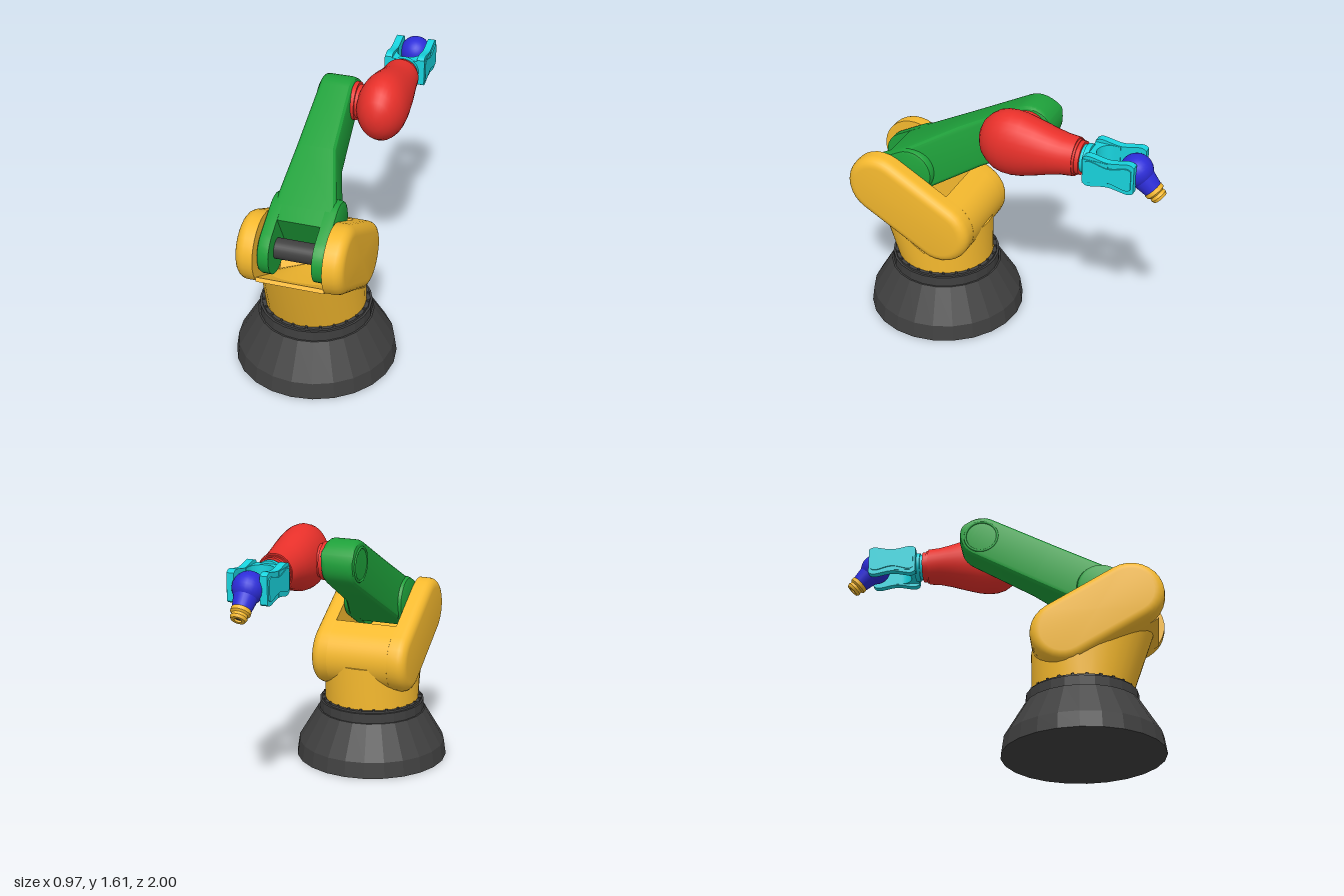
import * as THREE from 'three';
import { toCreasedNormals } from 'three/addons/utils/BufferGeometryUtils.js';

const V = (x, y, z) => new THREE.Vector3(x, y, z);
const mat = (color, flatShading = false) => new THREE.MeshStandardMaterial({ color, flatShading });

// Closed skin over equal-length rings of points, capped at both ends
function loft(rings, crease = 0.5) {
  const n = rings[0].length, tris = [];
  const mid = (r) => r.reduce((s, p) => s.add(p), V(0, 0, 0)).divideScalar(n);
  const last = rings[rings.length - 1], c0 = mid(rings[0]), c1 = mid(last);
  for (let j = 0; j < n; j++) {
    const k = (j + 1) % n;
    tris.push([c0, rings[0][k], rings[0][j]], [c1, last[j], last[k]]);
    for (let i = 0; i + 1 < rings.length; i++) {
      const a = rings[i], b = rings[i + 1];
      tris.push([a[j], a[k], b[k]], [a[j], b[k], b[j]]);
    }
  }
  // Keep faces pointing outward whichever way the rings run
  const volume = tris.reduce((s, [a, b, c]) => s + a.clone().sub(c0).dot(b.clone().sub(c0).cross(c.clone().sub(c0))), 0);
  if (volume < 0) tris.forEach((t) => t.reverse());
  const g = new THREE.BufferGeometry().setFromPoints(tris.flat());
  return toCreasedNormals(g, crease);
}

// Capsule outline in the side plane; a and b are [z, y, radius]
function capsule(x, a, b, inset = 0) {
  const t = Math.atan2(b[1] - a[1], b[0] - a[0]), pts = [];
  [[a, t + Math.PI / 2], [b, t - Math.PI / 2]].forEach(([c, start]) => {
    for (let i = 0; i <= 14; i++) {
      const q = start + (Math.PI * i) / 14, r = c[2] - inset;
      pts.push(V(x, c[1] + r * Math.sin(q), c[0] + r * Math.cos(q)));
    }
  });
  return pts;
}

// Extrude a (z, y) shape across x from x0 to x1
function sideExtrude(shape, x0, x1) {
  const g = new THREE.ExtrudeGeometry(shape, { depth: x1 - x0, bevelEnabled: false, curveSegments: 16 });
  return toCreasedNormals(g.rotateY(-Math.PI / 2).translate(x1, 0, 0), 0.5);
}

export function createModel() {
  const model = new THREE.Group();
  const yellow = mat(0xf5b92e), green = mat(0x1ea03a), red = mat(0xe8302a);
  const cyan = mat(0x18d4de), blue = mat(0x2c2cd8), dark = mat(0x404040), darkFlat = mat(0x404040, true);
  const add = (name, geo, material, parent = model) => {
    const m = new THREE.Mesh(geo, material);
    m.name = name;
    parent.add(m);
    return m;
  };
  const disc = (r, x0, x1, y, z, seg = 32) =>
    new THREE.CylinderGeometry(r, r, x1 - x0, seg).rotateZ(Math.PI / 2).translate((x0 + x1) / 2, y, z);

  // Base with its bolted flange
  const profile = [[0, 0], [0.485, 0], [0.47, 0.1], [0.345, 0.31], [0.335, 0.31], [0.335, 0.372], [0.322, 0.372], [0.322, 0.385], [0, 0.385]];
  add('base', new THREE.LatheGeometry(profile.map((p) => new THREE.Vector2(...p)), 24).translate(0, 0, 0.49), darkFlat);
  for (let i = 0; i < 24; i++) {
    const a = ((i + 0.5) * Math.PI) / 12;
    add('flangeBolt', new THREE.CylinderGeometry(0.009, 0.009, 0.012, 6)
      .translate(0.311 * Math.cos(a), 0.388, 0.49 + 0.311 * Math.sin(a)), dark);
  }

  // Turning column, flaring forward up to the sloped shoulder
  const ring = (top) => Array.from({ length: 32 }, (_, i) => {
    const a = (i * Math.PI) / 16, s = Math.sin(a);
    const z = 0.49 + s * (top && s > 0 ? 0.44 : 0.3);
    const slope = 0.68 + (-0.19 + 0.5 * (z - 0.4)) / 0.866;
    return V(0.3 * Math.cos(a), !top ? 0.38 : s < 0 ? 0.65 : slope, z);
  });
  add('column', loft([ring(false), ring(true)]), yellow);

  // Shoulder side plates with rounded outer rims
  const rear = [0.4, 0.68, 0.2], front = [0.8, 0.91, 0.2];
  for (const s of [-1, 1]) {
    const rings = [capsule(s * 0.2, rear, front)];
    for (let i = 0; i <= 6; i++) {
      const a = (i * Math.PI) / 12;
      rings.push(capsule(s * (0.255 + 0.06 * Math.sin(a)), rear, front, 0.06 * (1 - Math.cos(a))));
    }
    add('shoulderPlate', loft(rings), yellow);
  }

  // Shoulder middle: rounded back, slot for the arm, thin floor
  const tilt = Math.PI / 6;
  const slot = (u, v) => [0.4 + u * Math.cos(tilt) - v * Math.sin(tilt), 0.68 + u * Math.sin(tilt) + v * Math.cos(tilt)];
  const mid = new THREE.Shape();
  mid.moveTo(...slot(0.09, 0.2));
  mid.lineTo(...slot(0, 0.2));
  mid.absarc(0.4, 0.68, 0.2, tilt + Math.PI / 2, tilt + 1.5 * Math.PI, false);
  [[0.53, -0.2], [0.53, -0.175], [0.09, -0.175]].forEach((p) => mid.lineTo(...slot(...p)));
  add('shoulderBridge', sideExtrude(mid, -0.2, 0.2), yellow);

  // Shoulder shaft
  add('shoulderShaft', disc(0.06, -0.2, 0.2, 0.91, 0.8), dark);

  // Upper arm: u runs along the arm, v across it
  const armPoint = (x, u, v) => V(x, 0.91 + 0.485 * u + 0.874 * v, 0.8 - 0.874 * u + 0.485 * v);
  const section = (u, h, xl, xr) => {
    const c = Math.min(0.035, h * 0.6), pts = [];
    [[xr - c, h - c], [xl + c, h - c], [xl + c, c - h], [xr - c, c - h]].forEach(([x, v], q) => {
      for (let i = 0; i <= 3; i++) {
        const a = (q + i / 3) * Math.PI / 2;
        pts.push(armPoint(x + c * Math.cos(a), u, v + c * Math.sin(a)));
      }
    });
    return pts;
  };
  const arm = [section(0.1, 0.147, -0.19, 0.19), section(0.2, 0.147, -0.18, 0.19), section(0.6, 0.143, -0.16, 0.077), section(1.027, 0.14, -0.145, 0.057)];
  for (let i = 1; i <= 8; i++) {
    const a = (i * Math.PI) / 16.3;
    arm.push(section(1.027 + 0.14 * Math.sin(a), 0.14 * Math.cos(a), -0.145, 0.057));
  }
  add('upperArm', loft(arm), green);
  const end = armPoint(0, 0.2, 0);
  for (const s of [-1, 1]) {
    const a = [0.8, 0.91, 0.15], b = [end.z, end.y, 0.147];
    const layers = [[0.125, 0], [0.175, 0], [0.192, 0.008], [0.199, 0.025]];
    add('armFork', loft(layers.map(([x, inset]) => capsule(s * x, a, b, inset))), green);
  }
  add('elbowRim', new THREE.TorusGeometry(0.1, 0.008, 8, 32).rotateY(Math.PI / 2).translate(-0.145, 1.405, -0.1), green);

  // Elbow joint discs
  add('elbowDisc', disc(0.115, 0.05, 0.08, 1.408, -0.1), red);
  add('elbowHub', disc(0.1, 0.08, 0.15, 1.408, -0.1), red);

  // Forearm: elliptical bulb narrowing to the wrist; [z, half width, half height]
  const forearm = [[0.12, 0.015, 0.02], [0.112, 0.05, 0.065], [0.09, 0.087, 0.112], [0.055, 0.115, 0.15], [0.01, 0.138, 0.182],
    [-0.04, 0.148, 0.197], [-0.09, 0.15, 0.2], [-0.15, 0.148, 0.192], [-0.24, 0.14, 0.166], [-0.33, 0.128, 0.137],
    [-0.4, 0.118, 0.12], [-0.475, 0.11, 0.113]];
  const ellipse = ([z, rx, ry]) => Array.from({ length: 32 }, (_, i) =>
    V(0.235 + rx * Math.cos((i * Math.PI) / 16), 1.41 + ry * Math.sin((i * Math.PI) / 16), z));
  add('forearm', loft(forearm.map(ellipse), 0.7), red);
  const collar = (name, r, z0, z1, m) => add(name, new THREE.CylinderGeometry(r, r, z0 - z1, 32)
    .rotateX(Math.PI / 2).translate(0.235, 1.41, (z0 + z1) / 2), m);
  collar('forearmCollar', 0.104, -0.47, -0.488, red);
  collar('forearmFlange', 0.097, -0.488, -0.512, red);
  collar('wristNeck', 0.08, -0.51, -0.535, cyan);
  collar('wristFlange', 0.09, -0.53, -0.56, cyan);

  // Wrist yoke with a round throat, drawn in plan and extruded upward
  const yoke = new THREE.Shape();
  yoke.moveTo(-0.125, 0.55);
  yoke.lineTo(0.125, 0.55);
  yoke.lineTo(0.125, 0.7);
  yoke.lineTo(0.075, 0.7);
  yoke.absarc(0, 0.665, 0.075, 0, Math.PI, true);
  yoke.lineTo(-0.075, 0.7);
  yoke.lineTo(-0.125, 0.7);
  const yokeGeo = new THREE.ExtrudeGeometry(yoke, { depth: 0.146, bevelEnabled: false, curveSegments: 20 });
  yokeGeo.rotateX(-Math.PI / 2).translate(0.235, 1.337, 0);
  add('wristYoke', toCreasedNormals(yokeGeo, 0.5), cyan);

  // Waisted wrist cheeks with a raised panel on the outside
  const waisted = (z0, z1, h, waist) => {
    const s = new THREE.Shape(), m = (z0 + z1) / 2, q = (z1 - z0) / 4;
    s.moveTo(z0, 1.41 - h * 0.85);
    s.splineThru([[z0 + q * 0.5, -h], [m, -waist], [z1 - q * 0.5, -h], [z1, -h * 0.85]].map(([z, y]) => new THREE.Vector2(z, 1.41 + y)));
    s.lineTo(z1, 1.41 + h * 0.85);
    s.splineThru([[z1 - q * 0.5, h], [m, waist], [z0 + q * 0.5, h], [z0, h * 0.85]].map(([z, y]) => new THREE.Vector2(z, 1.41 + y)));
    return s;
  };
  for (const s of [-1, 1]) {
    const span = (a, b) => (s > 0 ? [0.235 + a, 0.235 + b] : [0.235 - b, 0.235 - a]);
    add('wristCheek', sideExtrude(waisted(-0.85, -0.55, 0.095, 0.077), ...span(0.078, 0.122)), cyan);
    add('wristPanel', sideExtrude(waisted(-0.835, -0.565, 0.068, 0.045), ...span(0.12, 0.13)), cyan);
  }

  // Ball joint with the tool mount pointing down and back
  const hand = new THREE.Group();
  hand.name = 'hand';
  hand.position.set(0.235, 1.41, -0.825);
  hand.rotation.x = -Math.PI * 0.75;
  model.add(hand);
  add('wristBall', new THREE.SphereGeometry(0.095, 24, 16), blue, hand);
  add('toolNeck', new THREE.CylinderGeometry(0.055, 0.07, 0.085, 24).translate(0, 0.1, 0), blue, hand);
  const tool = [[0, 0.13], [0.05, 0.13], [0.058, 0.142], [0.058, 0.162], [0.046, 0.172], [0.046, 0.182], [0.05, 0.19], [0.042, 0.207], [0.022, 0.207], [0.022, 0.19], [0, 0.19]];
  add('toolMount', toCreasedNormals(new THREE.LatheGeometry(tool.map((p) => new THREE.Vector2(...p)), 24), 0.5), yellow, hand);
  add('toolSocket', new THREE.CylinderGeometry(0.021, 0.021, 0.01, 16).translate(0, 0.19, 0), dark, hand);

  return model;
}
